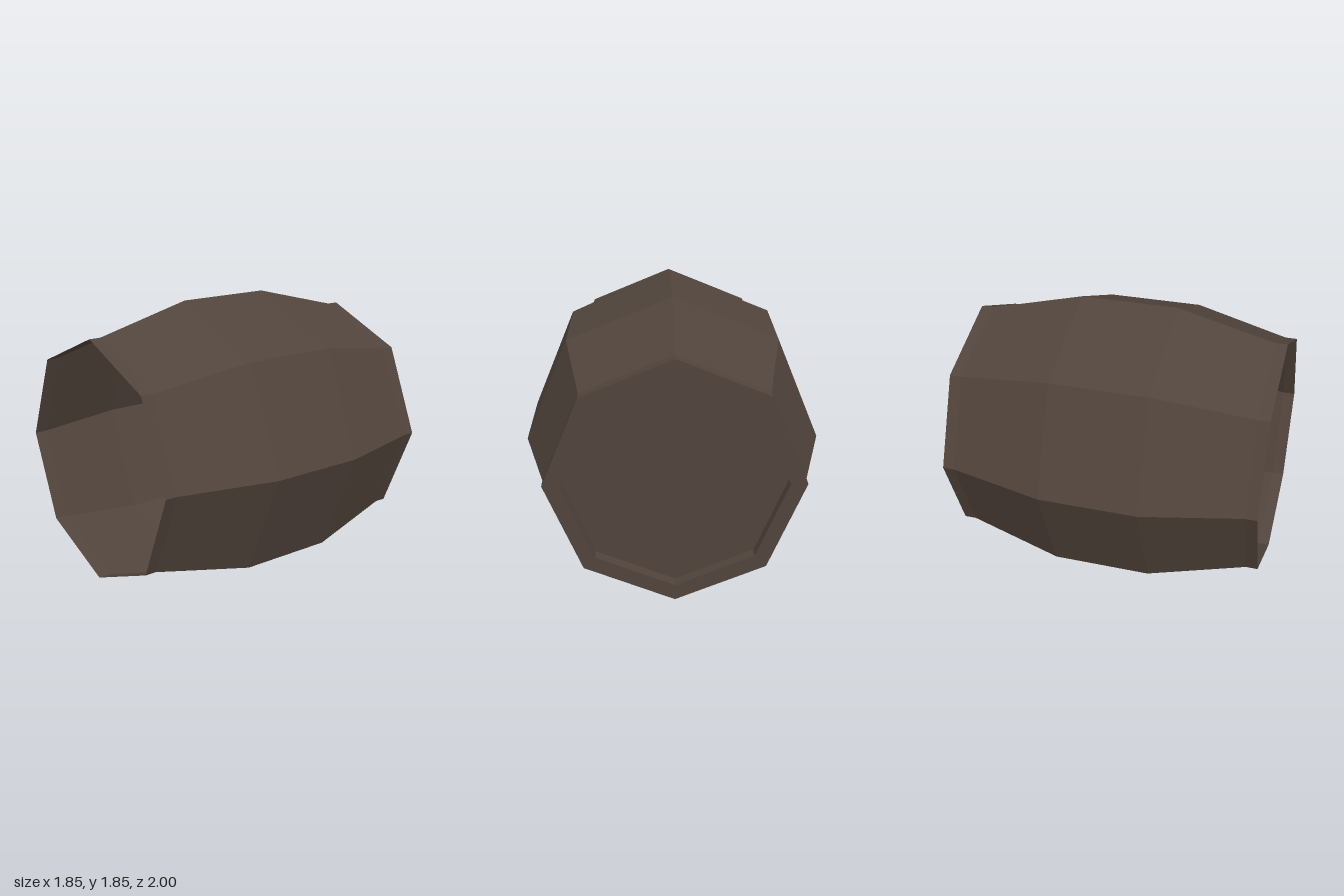
import * as THREE from 'three';

const SIDES = 8;
const CENTER_Y = 0.927;

// Faceted surface of revolution around the z axis; profile is [radius, z] pairs
function revolve(profile) {
  const points = profile.map(([r, z]) => new THREE.Vector2(r, z));
  const geometry = new THREE.LatheGeometry(points, SIDES).rotateX(Math.PI / 2).toNonIndexed();
  geometry.computeVertexNormals();
  return geometry;
}

export function createModel() {
  const model = new THREE.Group();
  model.name = 'barrel';

  const wood = new THREE.MeshStandardMaterial({
    color: 0x51443c, flatShading: true, side: THREE.DoubleSide,
  });
  wood.name = 'dark wood';

  function add(name, geometry) {
    const mesh = new THREE.Mesh(geometry, wood);
    mesh.name = name;
    mesh.position.y = CENTER_Y;
    model.add(mesh);
  }

  // Bulging staves, open at the front
  add('staves', revolve([
    [0.772, -1], [0.772, -0.925], [0.927, -0.31],
    [0.927, 0.31], [0.772, 0.925], [0.772, 1],
  ]));

  // Flat rim around the closed back end, and the step down to its lid
  add('backRim', revolve([[0.672, -1], [0.772, -1]]));
  add('recessWall', revolve([[0.672, -0.925], [0.672, -1]]));

  // Recessed lid
  const lid = new THREE.CircleGeometry(0.672, SIDES).rotateY(Math.PI);
  lid.translate(0, 0, -0.925);
  add('backLid', lid);

  return model;
}
